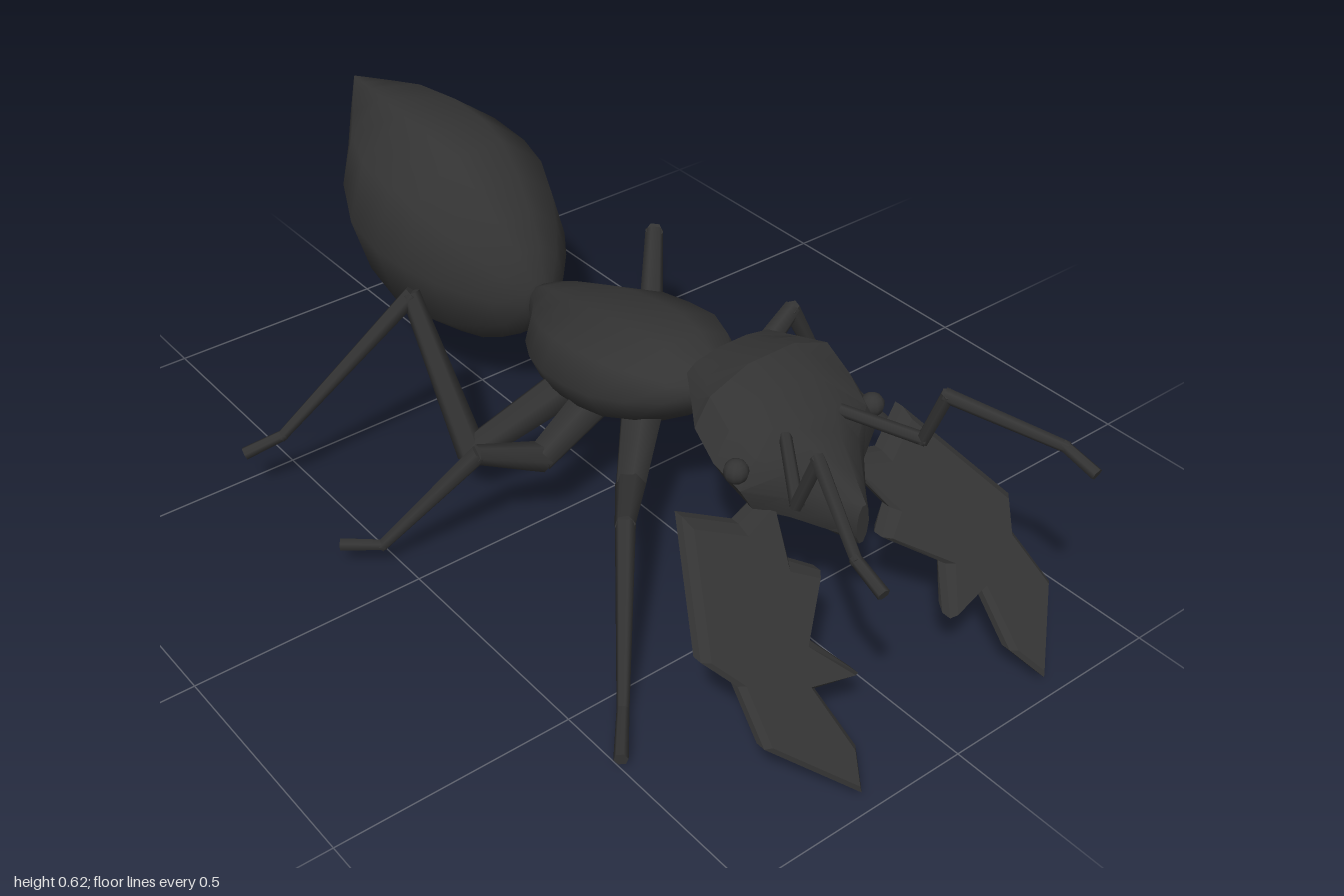
import * as THREE from 'three';
import { mergeGeometries, toCreasedNormals } from 'three/addons/utils/BufferGeometryUtils.js';

const material = new THREE.MeshStandardMaterial({ color: 0x333333 });
const MID = 0.015; // x of the body's mirror plane

function part(name, geometry, parent) {
  const mesh = new THREE.Mesh(geometry, material);
  mesh.name = name;
  parent.add(mesh);
  return mesh;
}

// Ten-sided body; each section is [z, top y, bottom y, half width], from front to back
function loft(sections, crease) {
  const N = 10, pos = [], index = [];
  const closed = [sections[0], ...sections, sections[sections.length - 1]];
  closed.forEach(([z, top, bottom, w], i) => {
    const k = i === 0 || i === closed.length - 1 ? 0.001 : 1;
    for (let j = 0; j < N; j++) {
      const a = ((j + 0.5) / N) * Math.PI * 2;
      const y = (top + bottom) / 2 + (k * Math.cos(a) * (top - bottom)) / 2 / Math.cos(Math.PI / N);
      pos.push(k * Math.sin(a) * w, y, z);
      if (i < closed.length - 1) {
        const p = i * N + j, q = i * N + ((j + 1) % N);
        index.push(p, q, p + N, q, q + N, p + N);
      }
    }
  });
  const g = new THREE.BufferGeometry();
  g.setAttribute('position', new THREE.Float32BufferAttribute(pos, 3));
  g.setIndex(index);
  g.computeVertexNormals();
  return crease ? toCreasedNormals(g, crease) : g;
}

// Jointed limb: one tapered segment between each pair of points
function limb(points, radii, sides = 6) {
  const v = points.map((p) => new THREE.Vector3(...p));
  const up = new THREE.Vector3(0, 1, 0);
  return mergeGeometries(v.slice(1).map((b, i) => {
    const d = b.clone().sub(v[i]);
    const g = new THREE.CylinderGeometry(radii[i + 1], radii[i], d.length() + 0.012, sides);
    g.applyQuaternion(new THREE.Quaternion().setFromUnitVectors(up, d.clone().normalize()));
    const m = v[i].clone().add(b).multiplyScalar(0.5);
    return g.translate(m.x, m.y, m.z);
  }));
}

// Toothed jaw plate, drawn from the front and sheared down and forward
function jawGeometry() {
  const outline = [
    [0.09, 0.35], [0.13, 0.275], [0.08, 0.25], [0.175, 0.19], [0.12, 0.135],
    [0.215, 0.145], [0.2, 0.07], [0.235, 0.027], [0.36, 0.115], [0.345, 0.185],
    [0.385, 0.225], [0.275, 0.37], [0.18, 0.335],
  ];
  const shape = new THREE.Shape(outline.map((p) => new THREE.Vector2(...p)));
  const g = new THREE.ExtrudeGeometry(shape, {
    depth: 0.02, bevelEnabled: true, bevelSegments: 1,
    bevelThickness: 0.015, bevelSize: 0.01, bevelOffset: -0.008,
  });
  const p = g.attributes.position;
  for (let i = 0; i < p.count; i++) p.setZ(i, p.getZ(i) + 0.95 - (p.getY(i) - 0.03) * 1.3);
  g.computeVertexNormals();
  return g;
}

export function createModel() {
  const model = new THREE.Group();
  model.name = 'ant';
  const body = new THREE.Group();
  body.name = 'body';
  body.position.x = MID;
  model.add(body);

  part('abdomen', loft([
    [-0.285, 0.36, 0.27, 0.04], [-0.32, 0.425, 0.225, 0.09], [-0.37, 0.485, 0.195, 0.135],
    [-0.43, 0.54, 0.168, 0.175], [-0.5, 0.59, 0.152, 0.205], [-0.58, 0.61, 0.15, 0.22],
    [-0.69, 0.617, 0.185, 0.215], [-0.8, 0.612, 0.25, 0.165], [-0.88, 0.597, 0.345, 0.1],
    [-0.94, 0.585, 0.455, 0.052], [-1, 0.573, 0.569, 0.002],
  ]), body);

  part('thorax', loft([
    [0.29, 0.425, 0.365, 0.045], [0.25, 0.44, 0.33, 0.095], [0.19, 0.463, 0.29, 0.145],
    [0.12, 0.467, 0.265, 0.177], [0.04, 0.458, 0.245, 0.18], [-0.04, 0.443, 0.235, 0.175],
    [-0.12, 0.42, 0.222, 0.147], [-0.2, 0.395, 0.2, 0.1], [-0.25, 0.375, 0.225, 0.05],
    [-0.3, 0.345, 0.285, 0.02],
  ]), body);

  part('neck', loft([
    [0.4, 0.47, 0.4, 0.055], [0.33, 0.44, 0.36, 0.05], [0.24, 0.43, 0.35, 0.045],
  ]), body);

  part('head', loft([
    [0.705, 0.375, 0.29, 0.015], [0.66, 0.41, 0.288, 0.05], [0.6, 0.46, 0.29, 0.1],
    [0.56, 0.488, 0.31, 0.17], [0.5, 0.525, 0.34, 0.183], [0.44, 0.563, 0.385, 0.178],
    [0.39, 0.55, 0.435, 0.145], [0.335, 0.536, 0.483, 0.11],
  ], 0.6), body);

  // Mirrored parts of the head
  const feeler = [
    [0.07, 0.475, 0.565], [0.155, 0.445, 0.69], [0.155, 0.565, 0.735],
    [0.25, 0.525, 0.93], [0.255, 0.505, 0.995],
  ];
  for (const [side, s] of [['left', 1], ['right', -1]]) {
    const half = new THREE.Group();
    half.name = side + 'HeadParts';
    half.scale.x = s;
    body.add(half);
    part(side + 'Mandible', jawGeometry(), half);
    part(side + 'Antenna', limb(feeler, [0.012, 0.013, 0.014, 0.011, 0.012]), half);
    const eye = part(side + 'Eye', new THREE.SphereGeometry(0.024, 10, 8), half);
    eye.position.set(0.168, 0.435, 0.545);
  }

  // Legs: hip, thigh joint, knee, ankle, toe; each in its own walking pose
  const legs = {
    frontRightLeg: [[-0.07, 0.3, 0.17], [-0.15, 0.22, 0.24], [-0.27, 0.265, 0.375], [-0.42, 0.025, 0.56], [-0.495, 0.02, 0.65]],
    middleRightLeg: [[-0.07, 0.28, 0.03], [-0.22, 0.2, 0.04], [-0.365, 0.265, 0.03], [-0.53, 0.05, -0.08], [-0.592, 0.05, -0.13]],
    rearRightLeg: [[-0.08, 0.28, -0.04], [-0.27, 0.13, -0.14], [-0.293, 0.44, -0.3], [-0.56, 0.145, -0.41], [-0.63, 0.115, -0.44]],
    frontLeftLeg: [[0.1, 0.3, 0.14], [0.18, 0.23, 0.15], [0.305, 0.335, 0.24], [0.53, 0.06, 0.375], [0.555, 0.03, 0.435]],
    middleLeftLeg: [[0.1, 0.28, 0.04], [0.2, 0.21, 0.12], [0.39, 0.34, 0.1], [0.53, 0.06, 0.12], [0.583, 0.045, 0.105]],
    rearLeftLeg: [[0.1, 0.28, -0.03], [0.2, 0.13, -0.14], [0.37, 0.335, -0.335], [0.55, 0.025, -0.57], [0.622, 0.013, -0.645]],
  };
  for (const [name, path] of Object.entries(legs)) {
    part(name, limb(path, [0.045, 0.032, 0.02, 0.012, 0.014]), model);
  }
  return model;
}
